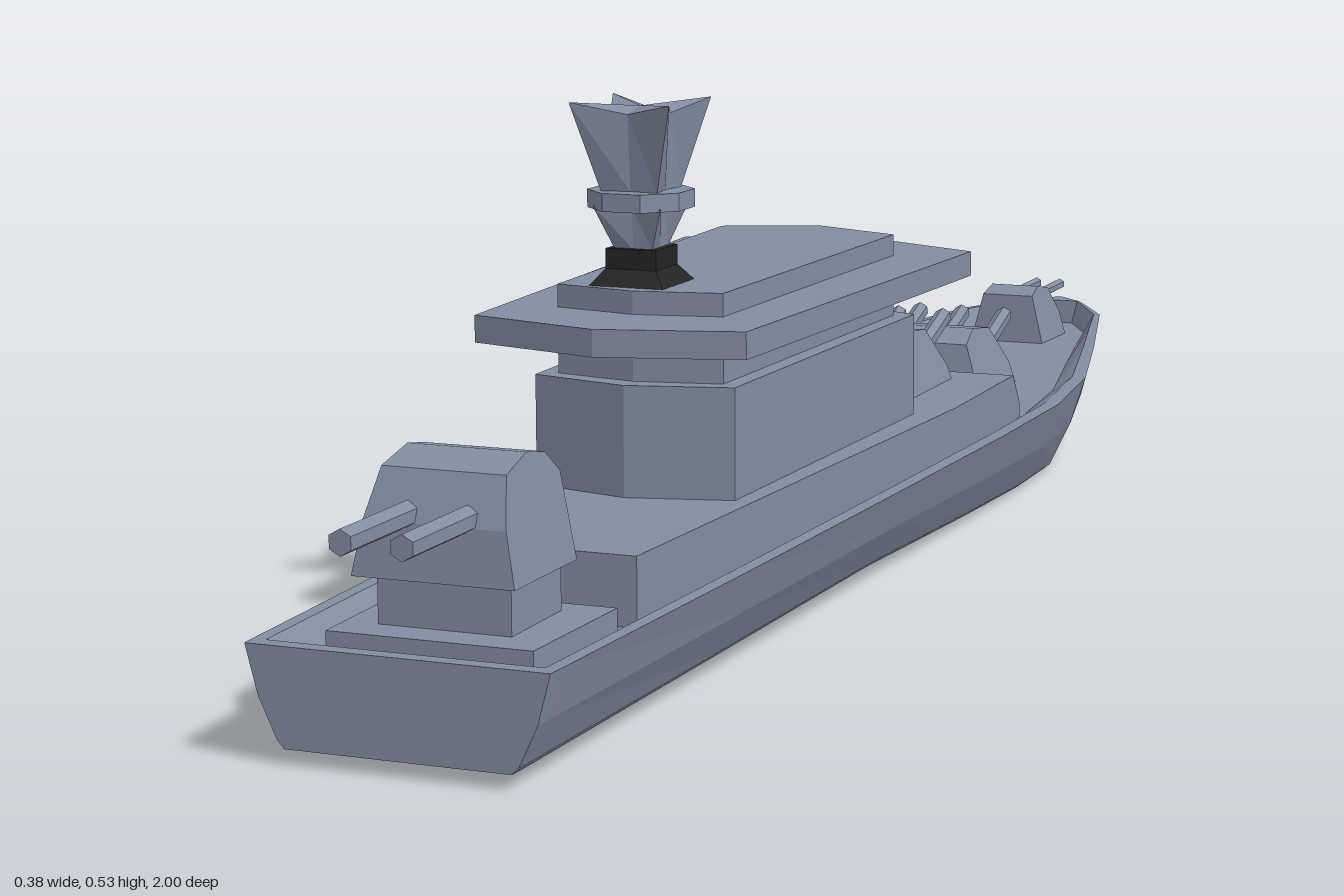
import * as THREE from 'three';

const grey = new THREE.MeshStandardMaterial({ color: 0x828da1, flatShading: true });
grey.name = 'slate grey';
const black = new THREE.MeshStandardMaterial({ color: 0x242424, flatShading: true });
black.name = 'black';

// Skins a list of equal-length rings of [x, y, z] and caps both ends around a centre point
function loft(rings) {
  const n = rings[0].length;
  const tris = [];
  for (let i = 0; i < rings.length - 1; i++) {
    for (let j = 0; j < n; j++) {
      const k = (j + 1) % n;
      const a = rings[i][j], b = rings[i][k], c = rings[i + 1][k], d = rings[i + 1][j];
      tris.push([a, b, c], [a, c, d]);
    }
  }
  const cap = (ring, flip) => {
    const mid = [0, 1, 2].map((c) => ring.reduce((s, p) => s + p[c], 0) / n);
    ring.forEach((p, j) => {
      const q = ring[(j + 1) % n];
      tris.push(flip ? [mid, q, p] : [mid, p, q]);
    });
  };
  cap(rings[0], true);
  cap(rings[rings.length - 1], false);
  // The signed volume tells whether the faces point outward
  const volume = tris.reduce((s, [a, b, c]) => s
    + a[0] * (b[1] * c[2] - b[2] * c[1])
    + a[1] * (b[2] * c[0] - b[0] * c[2])
    + a[2] * (b[0] * c[1] - b[1] * c[0]), 0);
  if (volume < 0) tris.forEach((t) => t.reverse());
  const geo = new THREE.BufferGeometry();
  geo.setAttribute('position', new THREE.Float32BufferAttribute(tris.flat(2), 3));
  geo.computeVertexNormals();
  return geo;
}

function add(parent, name, geo, material = grey) {
  const mesh = new THREE.Mesh(geo, material);
  mesh.name = name;
  parent.add(mesh);
  return mesh;
}

// Half outline from bow to stern, mirrored into a closed loop
const mirrored = (half) => [...half, ...half.slice().reverse().map(([x, ...r]) => [-x, ...r])];

// Upright slab from a mirrored (x, z) plan
const slab = (half, y0, y1) =>
  loft([y0, y1].map((y) => mirrored(half).map(([x, z]) => [x, y, z])));

// Tapered gun house: (z, y) side profile, width shrinking with height
function house(profile, wide, narrow) {
  const ys = profile.map((p) => p[1]);
  const low = Math.min(...ys), high = Math.max(...ys);
  const w = (y) => wide + (narrow - wide) * (y - low) / (high - low);
  return loft([-1, 1].map((s) => profile.map(([z, y]) => [s * w(y), y, z])));
}

function barrel(parent, x, from, to, radius) {
  const a = new THREE.Vector3(x, from[1], from[0]);
  const b = new THREE.Vector3(x, to[1], to[0]);
  const mesh = add(parent, 'gunBarrel', new THREE.CylinderGeometry(radius, radius, a.distanceTo(b), 6));
  mesh.position.copy(a).lerp(b, 0.5);
  mesh.quaternion.setFromUnitVectors(new THREE.Vector3(0, 1, 0), b.sub(a).normalize());
}

function buildHull(group) {
  // z, rail half width, rail y, bottom half width, bottom y, deck drop, bottom z shift, side z shift
  const stations = [
    [-0.997, 0.002, 0.135, 0.002, 0.022, 0, 0.067, 0.012],
    [-0.965, 0.036, 0.135, 0.018, 0.02, 0, 0.045, 0.008],
    [-0.962, 0.038, 0.135, 0.019, 0.02, 0.03, 0.045, 0.008],
    [-0.87, 0.092, 0.134, 0.06, 0.019, 0.025],
    [-0.76, 0.12, 0.133, 0.085, 0.018, 0.022],
    [-0.63, 0.153, 0.131, 0.115, 0.01, 0.02],
    [-0.48, 0.186, 0.12, 0.142, 0.003, 0.018],
    [-0.35, 0.191, 0.11, 0.147, 0.005, 0.015],
    [-0.15, 0.186, 0.108, 0.145, 0.01, 0.02],
    [0.15, 0.177, 0.108, 0.138, 0.018, 0.025],
    [0.55, 0.163, 0.108, 0.128, 0.018, 0.025],
    [0.95, 0.146, 0.108, 0.116, 0.017, 0.025],
    [0.951, 0.146, 0.108, 0.116, 0.017, 0],
    [0.967, 0.145, 0.108, 0.115, 0.017, 0],
  ];
  const rings = stations.map(([z, w, y, wb, yb, drop, zb = 0, zs = 0]) => mirrored([
    [wb * 0.94, yb, z + zb],
    [wb, yb + 0.007, z + zb],
    [(w + wb) / 2 + 0.003, (y + yb) / 2, z + zs],
    [w, y, z],
    [w * 0.91, y, z],
    [w * 0.8 - (drop ? 0.004 : 0), y - drop, z],
  ]));
  add(group, 'hull', loft(rings));
}

function buildDecks(group) {
  // Raised main deck with a sloped forward end
  const deck = [
    [-0.335, 0.147, 0.112], [-0.3, 0.15, 0.15], [-0.08, 0.152, 0.15], [0.2, 0.138, 0.15], [0.712, 0.112, 0.15],
  ];
  add(group, 'mainDeck', loft(deck.map(([z, w, y]) => [
    [-w, 0.08, z], [-w, y, z], [w, y, z], [w, 0.08, z],
  ])));
  add(group, 'aftGunPlatform', slab([[0.105, 0.74], [0.1, 0.905]], 0.08, 0.108));

  // Superstructure tiers with pointed forward ends
  add(group, 'lowerCabin', slab([[0, -0.077], [0.12, -0.03], [0.106, 0.46], [0, 0.486]], 0.145, 0.261));
  add(group, 'upperCabin', slab([[0, -0.056], [0.101, -0.015], [0.088, 0.445], [0, 0.462]], 0.26, 0.35));
  add(group, 'bridgeCanopy', slab([[0, -0.152], [0.17, -0.075], [0.142, 0.52], [0, 0.558]], 0.3, 0.327));
}

function buildMast(group) {
  const mast = new THREE.Group();
  mast.name = 'mast';
  mast.position.set(-0.015, 0, 0.405);
  group.add(mast);
  // Ring of four corners and four edge middles
  const ring = (y, corner, edge, yEdge = y) => {
    const pts = [];
    for (let i = 0; i < 4; i++) {
      const a = i * Math.PI / 2, c = Math.cos(a), s = Math.sin(a);
      pts.push([corner * (c - s), y, corner * (s + c)], [-edge * s, yEdge, edge * c]);
    }
    return pts;
  };
  add(mast, 'mastFoot', loft([
    ring(0.348, 0.041, 0.041), ring(0.366, 0.027, 0.027), ring(0.386, 0.027, 0.027),
  ]), black);
  add(mast, 'mastColumn', loft([ring(0.385, 0.02, 0.02), ring(0.428, 0.036, 0.024)]));
  const collar = new THREE.CylinderGeometry(0.053, 0.053, 0.018, 8).rotateY(Math.PI / 8).translate(0, 0.434, 0);
  add(mast, 'mastCollar', collar);
  add(mast, 'mastCrown', loft([ring(0.443, 0.03, 0.026), ring(0.531, 0.053, 0.032, 0.519)]));
}

function buildGuns(group) {
  // Two triple turrets, the forward one a step lower
  [[0, 0], [-0.24, -0.034]].forEach(([dz, dy], i) => {
    const turret = new THREE.Group();
    turret.name = i ? 'forwardTurret' : 'bridgeTurret';
    turret.position.set(0, dy, dz);
    group.add(turret);
    add(turret, 'gunHouse', house([
      [-0.115, 0.14], [-0.126, 0.205], [-0.165, 0.219], [-0.22, 0.212], [-0.255, 0.165], [-0.255, 0.14],
    ], 0.092, 0.066));
    [-0.055, 0, 0.055].forEach((x) => barrel(turret, x, [-0.2, 0.17], [-0.325, 0.212], 0.01));
  });

  // Small twin turret on the bow
  const bow = new THREE.Group();
  bow.name = 'bowTurret';
  group.add(bow);
  add(bow, 'gunHouse', house([
    [-0.75, 0.105], [-0.754, 0.172], [-0.785, 0.181], [-0.825, 0.174], [-0.85, 0.14], [-0.855, 0.105],
  ], 0.05, 0.031));
  [-0.016, 0.016].forEach((x) => barrel(bow, x, [-0.8, 0.162], [-0.937, 0.162], 0.007));

  // Large twin turret at the stern
  const aft = new THREE.Group();
  aft.name = 'aftTurret';
  aft.position.x = -0.003;
  group.add(aft);
  add(aft, 'turretBase', new THREE.BoxGeometry(0.13, 0.06, 0.102).translate(0, 0.13, 0.817));
  add(aft, 'gunHouse', house([
    [0.762, 0.155], [0.762, 0.235], [0.785, 0.256], [0.82, 0.262], [0.865, 0.25], [0.885, 0.205], [0.89, 0.155],
  ], 0.079, 0.058));
  [-0.029, 0.029].forEach((x) => barrel(aft, x, [0.85, 0.212], [1, 0.212], 0.012));
}

export function createModel() {
  const ship = new THREE.Group();
  ship.name = 'warship';
  buildHull(ship);
  buildDecks(ship);
  buildMast(ship);
  buildGuns(ship);
  ship.position.y = -0.003;
  const root = new THREE.Group();
  root.name = 'model';
  root.add(ship);
  return root;
}
